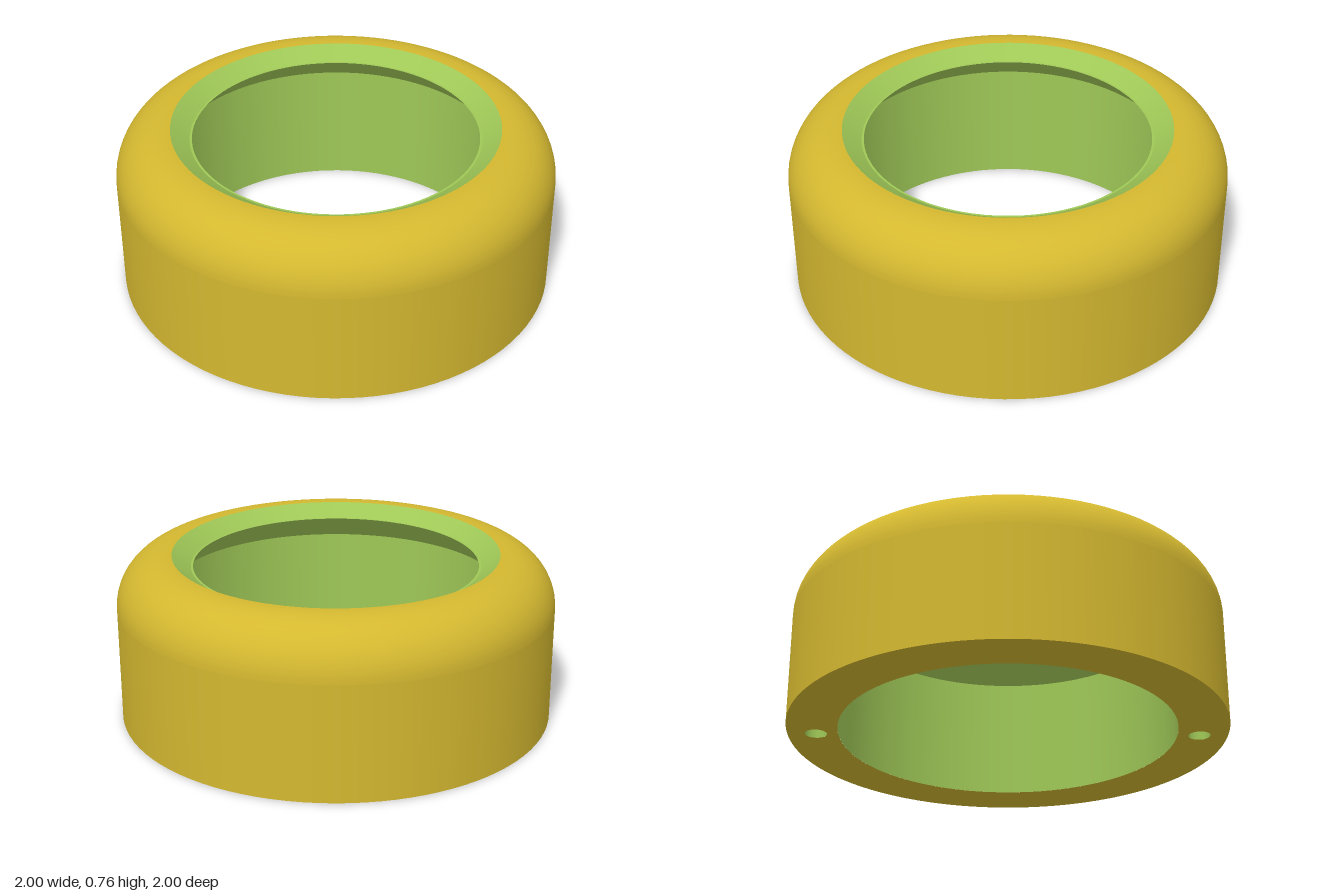
import * as THREE from 'three';

const SEGMENTS = 96;
const HOLE_RADIUS = 0.05;
const HOLE_DEPTH = 0.3;
const HOLE_OFFSET = 0.87;
const BORE_RADIUS = 0.77;

export function createModel() {
  const model = new THREE.Group();
  model.name = 'ring';
  const gold = new THREE.MeshStandardMaterial({ color: 0xd4b830 });
  gold.name = 'gold';
  const green = new THREE.MeshStandardMaterial({ color: 0x9fc857 });
  green.name = 'green';

  const add = (name, geometry, material) => {
    const mesh = new THREE.Mesh(geometry, material);
    mesh.name = name;
    model.add(mesh);
    return mesh;
  };
  const turned = (points, segments = SEGMENTS) =>
    new THREE.LatheGeometry(points.map(([r, y]) => new THREE.Vector2(r, y)), segments);

  // Outer wall and its rounded shoulder, then the narrow flat top
  add('outerWall', turned([[1, 0], [1, 0.53]]), gold);
  const shoulder = [];
  for (let i = 0; i <= 16; i++) {
    const a = (i / 16) * Math.PI / 2;
    shoulder.push([0.77 + 0.23 * Math.cos(a), 0.53 + 0.23 * Math.sin(a)]);
  }
  add('shoulder', turned(shoulder), gold);
  add('topRim', turned([[0.77, 0.76], [0.745, 0.76]]), gold);

  // Inside surfaces, from the top opening down; each is separate to keep creases
  add('topChamfer', turned([[0.745, 0.76], [0.66, 0.703]]), green);
  add('lipLedge', turned([[0.66, 0.703], [0.65, 0.703]]), green);
  add('lipUnderside', turned([[0.65, 0.703], [BORE_RADIUS, 0.583]]), green);
  add('bore', turned([[BORE_RADIUS, 0.583], [BORE_RADIUS, 0]]), green);

  // Flat underside, pierced by the bore and two screw holes
  const base = new THREE.Shape().absarc(0, 0, 1, 0, Math.PI * 2);
  const pierce = (y, r) => base.holes.push(new THREE.Path().absarc(0, y, r, 0, Math.PI * 2, true));
  pierce(0, BORE_RADIUS);
  for (const side of [1, -1]) {
    pierce(side * HOLE_OFFSET, HOLE_RADIUS);
    // Blind hole: wall and ceiling
    const wall = add('screwHoleWall', turned([[HOLE_RADIUS, HOLE_DEPTH], [HOLE_RADIUS, 0]], 32), green);
    const end = add('screwHoleEnd', new THREE.CircleGeometry(HOLE_RADIUS, 32).rotateX(Math.PI / 2), green);
    wall.position.z = side * HOLE_OFFSET;
    end.position.set(0, HOLE_DEPTH, side * HOLE_OFFSET);
  }
  add('underside', new THREE.ShapeGeometry(base, SEGMENTS).rotateX(Math.PI / 2), gold);

  return model;
}
